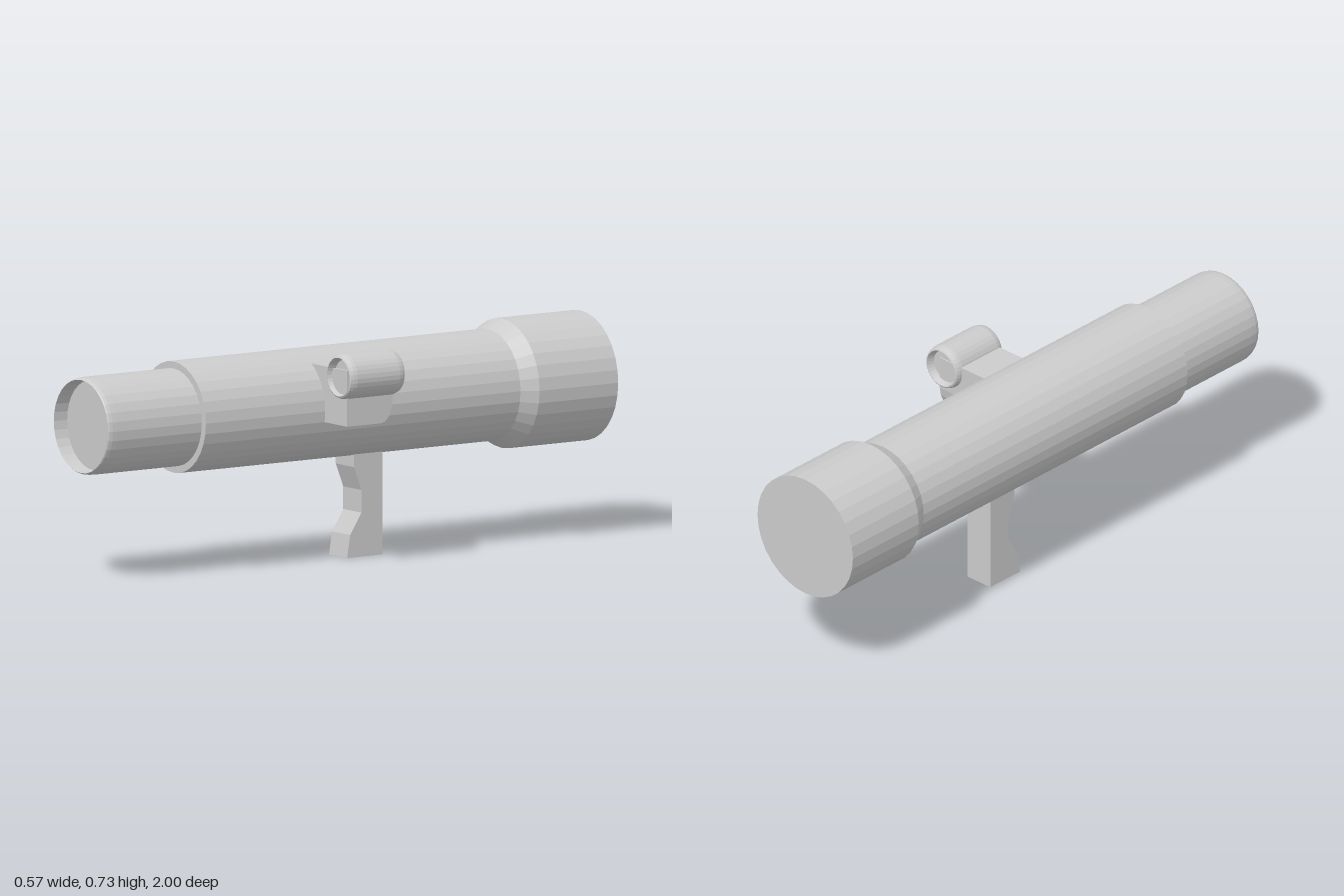
import * as THREE from 'three';

const SIDES = 32;
const material = new THREE.MeshStandardMaterial({
  color: 0xcccccc, flatShading: true, side: THREE.DoubleSide,
});

// Solid of revolution along z; each point is [radius, z], from back to front.
function turned(name, points, x, y) {
  const profile = points.map(([r, z]) => new THREE.Vector2(r, z));
  const geometry = new THREE.LatheGeometry(profile, SIDES);
  geometry.rotateX(Math.PI / 2);
  const mesh = new THREE.Mesh(geometry, material);
  mesh.name = name;
  mesh.position.set(x, y, 0);
  return mesh;
}

// Side profile drawn in (z, y), extruded across x from x0 to x1.
function sideExtrusion(name, shape, x0, x1) {
  const geometry = new THREE.ExtrudeGeometry(shape, {
    depth: x1 - x0, bevelEnabled: false, curveSegments: 4,
  });
  geometry.rotateY(-Math.PI / 2);
  geometry.translate(x1, 0, 0);
  const mesh = new THREE.Mesh(geometry, material);
  mesh.name = name;
  return mesh;
}

export function createModel() {
  const group = new THREE.Group();
  group.name = 'shoulderLauncher';
  const tubeX = -0.072, tubeY = 0.516;

  // Main tube with a flared, closed rear end
  group.add(turned('mainTube', [
    [0, -1], [0.214, -1], [0.214, -0.685], [0.184, -0.63], [0.184, 0.63], [0, 0.63],
  ], tubeX, tubeY));

  // Narrower muzzle with a rounded lip and a shallow recess
  group.add(turned('muzzle', [
    [0.161, 0.6], [0.161, 0.965], [0.16, 0.985], [0.157, 0.996], [0.154, 1],
    [0.149, 0.95], [0, 0.95],
  ], tubeX, tubeY));

  // Grip below the tube, waisted at the front
  const grip = new THREE.Shape([
    [-0.172, 0], [-0.03, 0], [-0.042, 0.075], [-0.087, 0.145], [-0.087, 0.22],
    [-0.057, 0.298], [-0.057, 0.36], [-0.172, 0.36],
  ].map(([z, y]) => new THREE.Vector2(z, y)));
  group.add(sideExtrusion('grip', grip, -0.124, -0.021));

  // Sight bracket with a rounded lower rear corner
  const bracket = new THREE.Shape();
  bracket.moveTo(0.152, 0.48);
  bracket.lineTo(0.152, 0.665);
  bracket.lineTo(-0.032, 0.665);
  bracket.lineTo(-0.03, 0.55);
  bracket.quadraticCurveTo(-0.022, 0.48, 0.02, 0.48);
  group.add(sideExtrusion('sightBracket', bracket, 0.03, 0.236));

  // Small sight, the same rounded and recessed end at both sides
  const end = [[0, 0.085], [0.055, 0.085], [0.064, 0.11], [0.069, 0.107], [0.073, 0.097], [0.0755, 0.085]];
  const mid = 0.058;
  group.add(turned('sight', [
    ...end.map(([r, z]) => [r, mid - z]),
    ...end.map(([r, z]) => [r, mid + z]).reverse(),
  ], 0.209, 0.642));

  return group;
}
